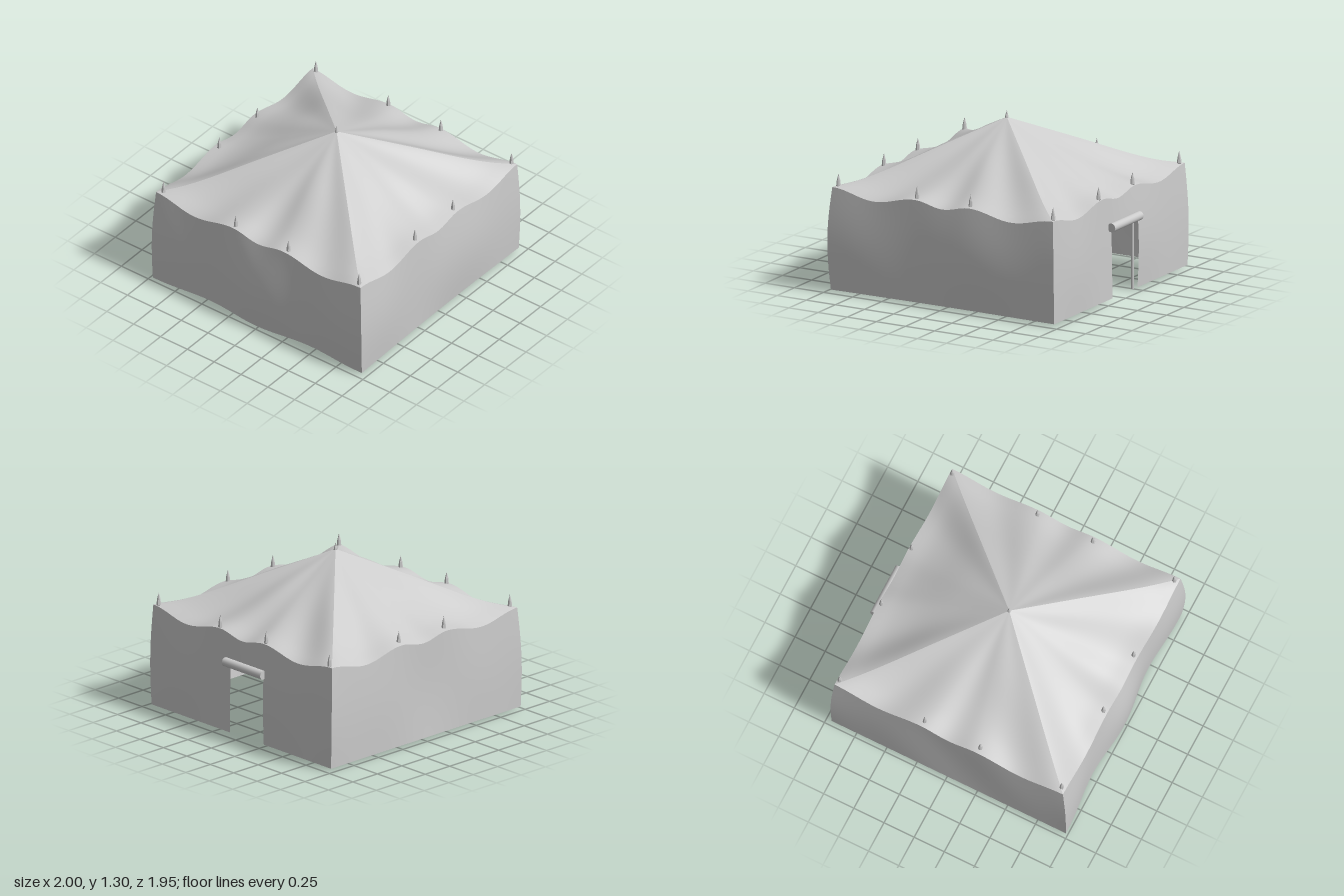
import * as THREE from 'three';

const APEX = new THREE.Vector3(-0.02, 1.245, 0);
// corners [x, z]: front left-hand, front right-hand, back right-hand, back left-hand
const TOP = [[-0.957, 0.945], [0.937, 0.945], [0.937, -0.96], [-0.957, -0.96]];
const BOTTOM = [[-0.96, 0.96], [0.95, 0.95], [0.955, -0.97], [-0.985, -0.968]];
const CORNER_BULGE = [[-0.025, 0.02], [0.008, 0.015], [0.012, -0.015], [-0.015, -0.012]];
const OUT = [[0, 1], [1, 0], [0, -1], [-1, 0]];
const KNOTS = [0, 0.375, 0.62, 1];
const DIPS = [0.062, 0.04, 0.058];
const COLS = 80;

const lerp = THREE.MathUtils.lerp;

// scalloped eave sagging between the pegs
function sag(t) {
  const i = t < KNOTS[1] ? 0 : t < KNOTS[2] ? 1 : 2;
  const f = (t - KNOTS[i]) / (KNOTS[i + 1] - KNOTS[i]);
  return DIPS[i] * (1 - Math.cos(f * Math.PI * 2)) / 2;
}

// outward billow of each wall
function billow(side, t, v) {
  const ends = Math.sin(Math.PI * t);
  const mid = Math.sin(Math.PI * v);
  if (side === 0) return ends * (mid * 0.012 * Math.cos(t * 9.4) - 0.012 * (1 - v));
  if (side === 1) return ends * mid * 0.008 * Math.sin(t * 12);
  if (side === 2) return -ends * mid * 0.015 * (1 + 0.5 * Math.cos(t * 12));
  return -ends * 0.022 * Math.cos(t * Math.PI * 4) * (mid * 0.6 + (1 - v) * 0.5) * -1
    - Math.sin(t * Math.PI * 2) ** 2 * 0.022 * (1 - v);
}

function wallPoint(side, t, v) {
  const j = (side + 1) % 4, m = Math.sin(Math.PI * v);
  const at = k => {
    const corner = c => lerp(BOTTOM[c][k], TOP[c][k], v) + CORNER_BULGE[c][k] * m;
    return lerp(corner(side), corner(j), t) + OUT[side][k] * billow(side, t, v);
  };
  return [at(0), lerp(0.018, 0.8 - sag(t), v), at(1)];
}

// roof height along a ridge, from eave (0) to apex (1)
const ridge = new THREE.CatmullRomCurve3([
  [0, 0.8], [0.14, 0.835], [0.28, 0.89], [0.57, 1.035], [1, 1.245],
].map(([u, y]) => new THREE.Vector3(u, y, 0)));
const ridgePts = ridge.getPoints(100);
function ridgeHeight(u) {
  const i = Math.max(1, ridgePts.findIndex(p => p.x >= u - 1e-9));
  const a = ridgePts[i - 1], b = ridgePts[i];
  return lerp(a.y, b.y, (u - a.x) / (b.x - a.x));
}

function roofPoint(side, t, v) {
  const [x, , z] = wallPoint(side, t, 1);
  const wrinkle = 0.02 * Math.sin(Math.PI * t) * Math.sin(Math.PI * v) * (1 - v)
    * Math.sin(t * 11 + side * 1.7 + v * 3);
  const y = ridgeHeight(v) - sag(t) * (1 - v) ** 2 + wrinkle;
  return [lerp(x, APEX.x, v), y, lerp(z, APEX.z, v)];
}

// grid of quads over a point rule, with optional cells left out
function cloth(point, rows, isHole = () => false) {
  const pos = [], index = [];
  for (let r = 0; r <= rows; r++)
    for (let c = 0; c <= COLS; c++) pos.push(...point(c / COLS, r / rows));
  for (let r = 0; r < rows; r++)
    for (let c = 0; c < COLS; c++) {
      if (isHole(c, r)) continue;
      const a = r * (COLS + 1) + c, d = a + COLS + 1;
      index.push(a, a + 1, d + 1, a, d + 1, d);
    }
  const g = new THREE.BufferGeometry();
  g.setAttribute('position', new THREE.Float32BufferAttribute(pos, 3));
  g.setIndex(index);
  g.computeVertexNormals();
  return g;
}

export function createModel() {
  const group = new THREE.Group();
  const canvas = new THREE.MeshStandardMaterial({ color: 0xcccccc, side: THREE.DoubleSide });
  const solid = new THREE.MeshStandardMaterial({ color: 0xcccccc });
  const faceted = new THREE.MeshStandardMaterial({ color: 0xcccccc, flatShading: true });
  const add = (name, geometry, material, x = 0, y = 0, z = 0) => {
    const mesh = new THREE.Mesh(geometry, material);
    mesh.name = name;
    mesh.position.set(x, y, z);
    group.add(mesh);
    return mesh;
  };

  // canvas walls and roof, with a doorway in the +x wall
  const doorway = (c, r) => c >= 35 && c < 50 && r < 14;
  ['front', 'left', 'back', 'right'].forEach((name, side) => {
    add(name + 'Wall', cloth((t, v) => wallPoint(side, t, v), 20, side === 1 ? doorway : undefined), canvas);
    add(name + 'Roof', cloth((t, v) => roofPoint(side, t, v), 24), canvas);
  });

  // pointed pole tips around the eave and at the peak
  const tip = new THREE.LatheGeometry([
    [0, -0.03], [0.01, -0.03], [0.01, -0.005], [0.018, 0.005], [0.013, 0.05], [0, 0.1],
  ].map(p => new THREE.Vector2(...p)), 6);
  const xs = [-0.925, -0.25, 0.21, 0.917], zs = [-0.915, -0.24, 0.25, 0.908];
  for (let i = 0; i < 4; i++)
    for (let k = 0; k < 4; k++)
      if (i % 3 === 0 || k % 3 === 0) add('poleTip', tip, faceted, xs[i], 0.8, zs[k]);
  add('peakTip', tip, faceted, APEX.x, 1.2, APEX.z);

  // centre pole and door post
  add('centrePole', new THREE.CylinderGeometry(0.014, 0.014, 1.22, 10), solid, APEX.x, 0.61, 0);
  add('doorPost', new THREE.CylinderGeometry(0.012, 0.012, 0.8, 10), solid, 0.91, 0.4, -0.252);

  // rolled-up door flap
  const roll = add('doorRoll', new THREE.CylinderGeometry(0.034, 0.034, 0.41, 16), solid, 0.966, 0.568, -0.055);
  roll.rotation.x = Math.PI / 2;
  return group;
}
